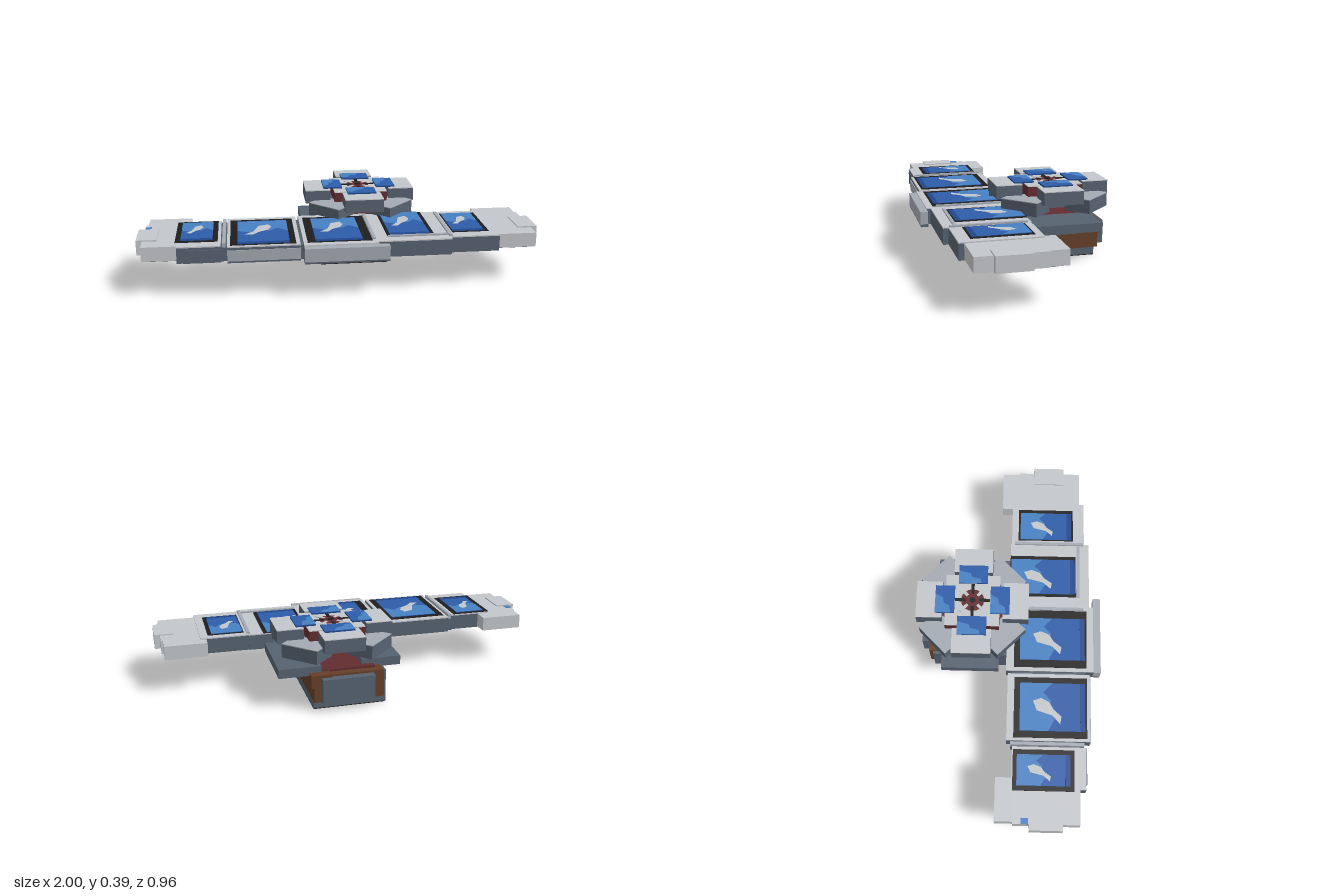
import * as THREE from 'three';

const mat = (name, color) => {
  const m = new THREE.MeshStandardMaterial({ color });
  m.name = name;
  return m;
};

export function createModel() {
  const light = mat('pale grey', 0xc3c6ca), mid = mat('mid grey', 0xa4aab3);
  const slate = mat('slate', 0x566270), black = mat('black', 0x1e1e20);
  const blue = mat('blue', 0x2c5ca8), sky = mat('sky blue', 0x4680c2);
  const navy = mat('navy', 0x20468c), brown = mat('brown', 0x653f29), red = mat('dark red', 0x622c30);

  const root = new THREE.Group();
  root.name = 'station';
  const group = (name, parent = root) => {
    const g = new THREE.Group();
    g.name = name;
    parent.add(g);
    return g;
  };
  // Box given by its limits on each axis
  const box = (parent, name, m, x0, x1, y0, y1, z0, z1) => {
    const mesh = new THREE.Mesh(new THREE.BoxGeometry(x1 - x0, y1 - y0, z1 - z0), m);
    mesh.position.set((x0 + x1) / 2, (y0 + y1) / 2, (z0 + z1) / 2);
    mesh.name = name;
    parent.add(mesh);
    return mesh;
  };
  // Flat patch with corners as fractions of a rectangle (u to the left, v to the front)
  const patch = (parent, name, m, [x0, x1, z0, z1], y, pts) => {
    const s = new THREE.Shape(pts.map(([u, v]) => new THREE.Vector2(x0 + u * (x1 - x0), -(z0 + v * (z1 - z0)))));
    const mesh = new THREE.Mesh(new THREE.ShapeGeometry(s).rotateX(-Math.PI / 2), m);
    mesh.position.y = y;
    mesh.name = name;
    parent.add(mesh);
  };
  const SHINE = [[0, 0], [1, 0], [1, 0.5], [0.8, 0.36], [0.62, 0.48], [0.45, 0.38], [0.3, 0.55], [0, 0.44]];
  const GLINT = [[0.42, 0.26], [0.62, 0.2], [0.68, 0.32], [0.6, 0.45], [0.44, 0.52], [0.3, 0.64], [0.14, 0.62], [0.32, 0.5]];

  // Row of display panels: body, dark frame and screen limits as x0, x1, z0, z1
  const panels = [
    { b: [-0.8, -0.59, 0.03, 0.4], f: [-0.81, -0.605, 0.035, 0.34], s: [-0.785, -0.63, 0.055, 0.32] },
    { b: [-0.56, -0.21, 0, 0.42], f: [-0.545, -0.23, 0.035, 0.405], s: [-0.51, -0.26, 0.065, 0.395], front: true },
    { b: [-0.195, 0.165, -0.01, 0.44], f: [-0.175, 0.14, 0.03, 0.405], s: [-0.135, 0.095, 0.06, 0.395] },
    { b: [0.165, 0.53, 0, 0.42], f: [0.22, 0.455, 0, 0.35], s: [0.235, 0.435, 0.005, 0.345] },
    { b: [0.53, 0.775, 0.005, 0.395], f: [0.55, 0.735, 0.04, 0.335], s: [0.555, 0.715, 0.05, 0.325] },
  ];
  panels.forEach(({ b, f, s, front }) => {
    const g = group('displayPanel');
    const [x0, x1, z0, z1] = b;
    box(g, 'panelBody', slate, x0, x1, 0.185, 0.262, z0, z1);
    box(g, 'panelTop', light, x0, x1, 0.262, 0.268, z0, z1);
    box(g, 'screenFrame', black, f[0], f[1], 0.268, 0.27, f[2], f[3]);
    box(g, 'screen', blue, s[0], s[1], 0.268, 0.272, s[2], s[3]);
    box(g, 'screenEdge', navy, s[0], s[1], 0.268, 0.2725, s[3] - 0.025, s[3]);
    patch(g, 'screenShine', sky, s, 0.2735, SHINE);
    patch(g, 'screenGlint', light, s, 0.275, GLINT);
    if (front) box(g, 'frontPlate', mid, x0, x1, 0.195, 0.25, z1, z1 + 0.005);
  });
  // Links, dividers and lips along the row
  const trim = group('panelTrim');
  box(trim, 'link', slate, -0.59, -0.56, 0.185, 0.255, 0.02, 0.39);
  box(trim, 'link', slate, -0.21, -0.195, 0.185, 0.255, 0.02, 0.4);
  [-0.575, 0.15, 0.53].forEach((x) => box(trim, 'divider', mid, x - 0.008, x + 0.008, 0.25, 0.276, 0.02, 0.39));
  box(trim, 'frontLip', slate, -0.195, 0.215, 0.185, 0.2, 0.44, 0.475);
  box(trim, 'frontLipBar', mid, -0.195, 0.215, 0.195, 0.262, 0.44, 0.478);
  box(trim, 'frontRail', mid, 0.22, 0.52, 0.262, 0.275, 0.355, 0.37);
  box(trim, 'lowerStrip', slate, -0.77, -0.59, 0.185, 0.25, 0.37, 0.405);

  // Pale end caps, mirrored
  [-1, 1].forEach((d) => {
    const cap = group('endCap');
    const span = (a, b) => (d > 0 ? [a, b] : [-b, -a]);
    const [a, b] = span(0.745, 0.96), [c, e] = span(0.9, 1);
    box(cap, 'capBack', light, a, b, 0.19, 0.262, -0.05, 0.04);
    box(cap, 'capBody', light, ...span(0.775, 0.97), 0.19, 0.262, 0.04, 0.37);
    box(cap, 'capTip', light, c, e, 0.192, 0.268, 0.12, 0.285);
    box(cap, 'capUnderside', slate, ...span(0.78, 0.95), 0.185, 0.19, 0, 0.36);
  });
  box(root, 'capLamp', sky, -0.97, -0.94, 0.262, 0.265, 0.08, 0.115);

  // Base under the hub
  const base = group('base');
  box(base, 'foot', slate, -0.07, 0.285, 0.004, 0.04, -0.4, 0.02);
  box(base, 'footUnderside', black, -0.075, 0.285, 0, 0.004, -0.4, 0.02);
  box(base, 'lowerBlock', brown, -0.065, 0.285, 0.04, 0.12, -0.42, 0.05);
  box(base, 'upperBlock', brown, -0.065, 0.28, 0.12, 0.18, -0.42, 0.045);
  [[-0.43, -0.295], [-0.085, 0.055]].forEach(([z0, z1]) => box(base, 'sideBlock', brown, 0.2, 0.3, 0.12, 0.185, z0, z1));
  box(base, 'sideInset', slate, 0.2, 0.295, 0.12, 0.175, -0.295, -0.085);
  box(base, 'sideSlab', slate, -0.08, -0.065, 0.004, 0.17, -0.4, 0.02);
  box(base, 'frontPanel', slate, -0.01, 0.25, 0.05, 0.17, 0.045, 0.08);
  box(base, 'backPanel', slate, -0.01, 0.25, 0.05, 0.17, -0.46, -0.42);
  box(base, 'redDeck', red, -0.03, 0.25, 0.18, 0.19, -0.38, 0);
  box(base, 'leftDeck', slate, 0.24, 0.45, 0.17, 0.215, -0.385, 0);
  box(base, 'rightDeck', slate, -0.17, 0.03, 0.17, 0.215, -0.35, -0.05);

  // Octagonal hub: four high blocks and four low ones between them
  const hub = group('hub');
  hub.position.set(0.145, 0, -0.19);
  for (let i = 0; i < 8; i++) {
    const arm = group(i % 2 ? 'lowArm' : 'highArm', hub);
    arm.rotation.y = (i * Math.PI) / 4;
    const y = i % 2 ? 0.255 : 0.31;
    box(arm, 'armBlock', slate, -0.1, 0.1, y, y + 0.066, 0.157, 0.29);
    box(arm, 'armTop', i % 2 ? mid : light, -0.1, 0.1, y + 0.066, y + 0.07, 0.157, 0.29);
    if (i % 2 === 0) {
      box(arm, 'hubScreenBase', navy, -0.075, 0.075, 0.38, 0.386, 0.092, 0.192);
      box(arm, 'hubScreen', blue, -0.075, 0.075, 0.386, 0.388, 0.092, 0.192);
    }
    box(arm, 'spoke', i % 2 ? light : black, -0.008, 0.008, 0.379, 0.382, 0.035, 0.09);
  }
  // Shine on the hub screens, always on the same side
  [[0, 1], [0, -1], [1, 0], [-1, 0]].forEach(([dx, dz]) => {
    const w = dx ? 0.05 : 0.075, h = dx ? 0.075 : 0.05, x = dx * 0.142, z = dz * 0.142;
    patch(hub, 'hubShine', sky, [x - w, x + w, z - h, z + h], 0.3895,
      [[0, 0], [0.7, 0], [0.55, 0.4], [0.35, 0.45], [0.25, 0.75], [0, 0.8]]);
  });
  box(hub, 'hubCore', red, -0.14, 0.14, 0.318, 0.374, -0.14, 0.14);
  box(hub, 'hubCoreTop', light, -0.14, 0.14, 0.374, 0.378, -0.14, 0.14);
  const disc = (name, m, r, y) => {
    const mesh = new THREE.Mesh(new THREE.CylinderGeometry(r, r, 0.004, 16), m);
    mesh.position.y = y;
    mesh.name = name;
    hub.add(mesh);
  };
  disc('hubDisc', red, 0.06, 0.3785);
  disc('hubCentre', black, 0.015, 0.382);
  return root;
}
